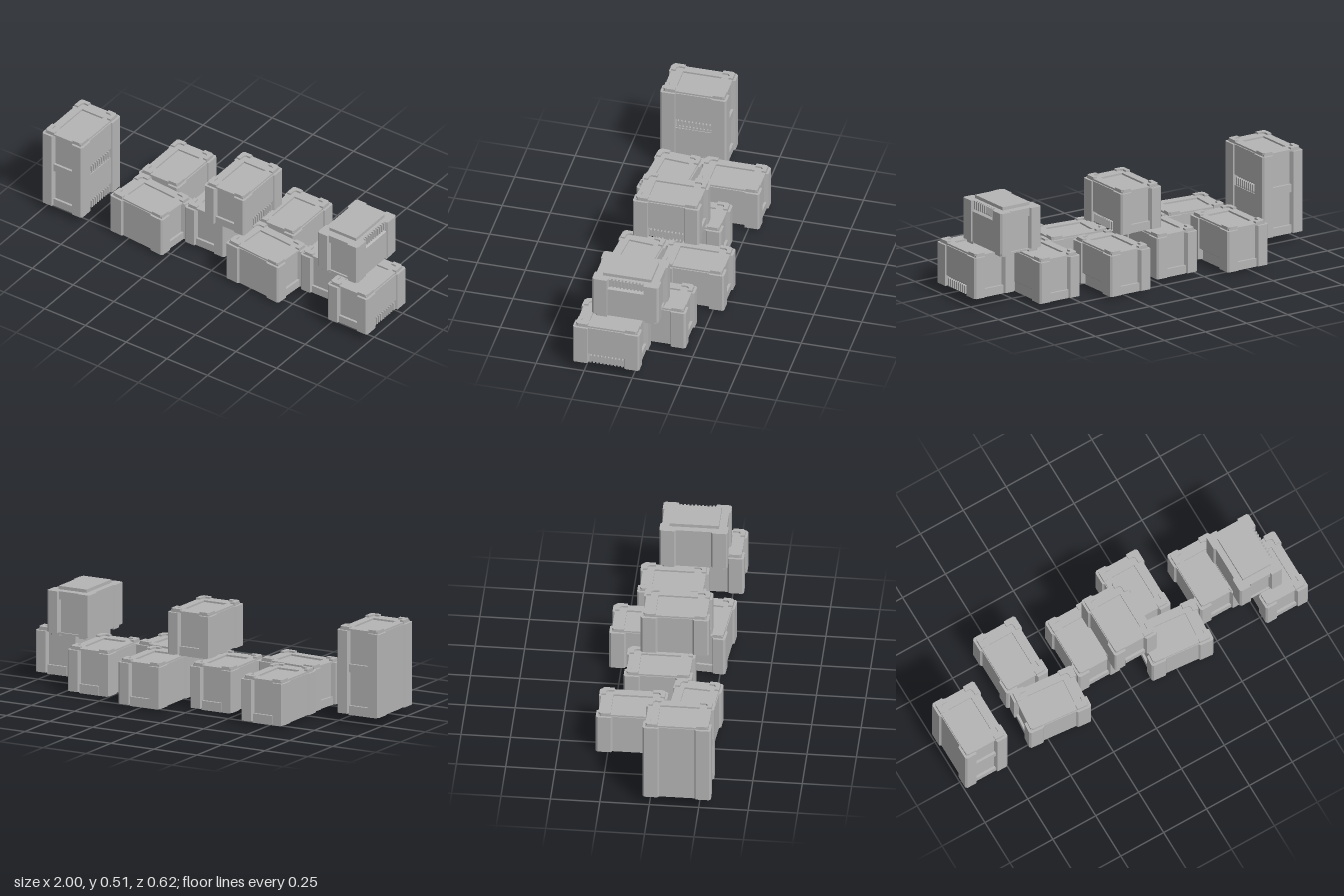
import * as THREE from 'three';

const grey = new THREE.MeshStandardMaterial({ color: 0xb4b4b4 });
grey.name = 'crate grey';

const W = 0.123, L = 0.173;          // half width and half length of a crate
const Y0 = 0.017, Y1 = 0.232;        // bottom and top of the corner posts

function shapeOf(points) {
  return new THREE.Shape(points.map(([x, z]) => new THREE.Vector2(x, -z)));
}

// Upright prism from a plan shape, between two heights
function prism(shape, low, high) {
  const g = new THREE.ExtrudeGeometry(shape, { depth: high - low, bevelEnabled: false });
  g.rotateX(-Math.PI / 2);
  g.translate(0, low, 0);
  return g;
}

function rect(hx, hz) {
  return shapeOf([[-hx, hz], [hx, hz], [hx, -hz], [-hx, -hz]]);
}

// Plan of the body: chamfered corner posts with recessed panels between them
function bodyShape() {
  const c = 0.009, px = 0.062, pz = 0.097, endDepth = 0.022, bevel = 0.008;
  const quarter = (dx) => [
    [W - dx, 0], [W - dx, pz - bevel], [W, pz], [W, L - c], [W - c, L],
    [px, L], [px - bevel, L - endDepth],
  ];
  const right = quarter(0.024), left = quarter(0.01);
  const flip = (pts, sx, sz) => pts.map(([x, z]) => [x * sx, z * sz]);
  return shapeOf([
    ...flip(right, 1, 1), ...flip(left, -1, 1).reverse(),
    ...flip(left, -1, -1).slice(1), ...flip(right, 1, -1).reverse().slice(0, -1),
  ]);
}

// Panel on the ventilated side, its lower edge sloping inwards
function sidePanel() {
  const s = new THREE.Shape([
    [W - 0.03, 0.064], [W - 0.022, 0.064], [W - 0.008, 0.074], [W - 0.008, Y1], [W - 0.03, Y1],
  ].map(([x, y]) => new THREE.Vector2(x, y)));
  const g = new THREE.ExtrudeGeometry(s, { depth: 0.19, bevelEnabled: false });
  g.translate(0, 0, -0.095);
  return g;
}

// Lid with a shallow well in the middle
function lid() {
  const s = rect(0.109, 0.16);
  s.holes.push(new THREE.Path([[-0.065, -0.1], [-0.065, 0.1], [0.065, 0.1], [0.065, -0.1]]
    .map(([x, y]) => new THREE.Vector2(x, y))));
  return prism(s, Y1, 0.241);
}

// L-shaped corner bracket on top
function bracket(sx, sz) {
  const x = W - 0.012, z = L - 0.013, t = 0.022, c = 0.01;
  const pts = [
    [x, z - 0.062], [x, z - c], [x - c, z], [x - 0.055, z],
    [x - 0.055, z - t], [x - t - c, z - t], [x - t, z - t - c], [x - t, z - 0.062],
  ].map(([a, b]) => [a * sx, b * sz]);
  return prism(shapeOf(pts), Y1, 0.25);
}

// Upright vent rib with a rounded top
function ventRib() {
  const r = 0.0045, h = 0.044, s = new THREE.Shape();
  s.moveTo(-r, 0);
  s.lineTo(r, 0);
  s.lineTo(r, h - r);
  s.absarc(0, h - r, r, 0, Math.PI, false);
  s.lineTo(-r, 0);
  const g = new THREE.ExtrudeGeometry(s, { depth: 0.014, bevelEnabled: false, curveSegments: 4 });
  g.rotateY(Math.PI / 2);
  return g;
}

const parts = {
  body: prism(bodyShape(), Y0, Y1),
  basePlate: prism(rect(0.081, 0.125), 0, Y0 + 0.002),
  sidePanel: sidePanel(),
  lid: lid(),
  endSill: new THREE.BoxGeometry(0.112, 0.042, 0.014),
  ventRib: ventRib(),
};
const corners = [[1, 1], [1, -1], [-1, 1], [-1, -1]];
const brackets = corners.map(([sx, sz]) => bracket(sx, sz));

function crate(vented) {
  const g = new THREE.Group();
  const add = (name, geometry, x = 0, y = 0, z = 0) => {
    const m = new THREE.Mesh(geometry, grey);
    m.name = name;
    m.position.set(x, y, z);
    g.add(m);
  };
  for (const name of ['body', 'basePlate', 'sidePanel', 'lid']) add(name, parts[name]);
  brackets.forEach((b) => add('cornerBracket', b));
  for (const s of [1, -1]) add('endSill', parts.endSill, 0, Y0 + 0.021, s * (L - 0.016));
  if (vented) {
    for (let i = 0; i < 10; i++) add('ventRib', parts.ventRib, W - 0.025, Y0, (i - 4.5) * 0.0183);
  }
  return g;
}

export function createModel() {
  const model = new THREE.Group();
  model.name = 'crateStacks';
  const turn = THREE.MathUtils.degToRad(85);
  // name, x, y, z, turn about y, upside down, vent ribs
  const layout = [
    ['tallStackLowerCrate', -0.877, 0.031, 0.138, 0, false, true],
    ['tallStackUpperCrate', -0.877, 0.246, 0.138, 0, false, true],
    ['backLeftCrate', -0.478, 0, -0.137, 0, false, false],
    ['frontLeftCrate', -0.425, 0, 0.17, turn, false, false],
    ['middleLeftCrate', -0.12, 0, -0.03, 0, false, false],
    ['bridgingCrate', 0.05, 0.246, 0.04, 0, false, true],
    ['backRightCrate', 0.235, 0, -0.137, 0, false, false],
    ['frontRightCrate', 0.288, 0, 0.17, turn, false, false],
    ['middleRightCrate', 0.592, 0, -0.03, 0, false, false],
    ['endCrate', 0.875, 0.031, 0.138, 0, false, true],
    ['upturnedCrate', 0.765, 0.515, 0.066, 0, true, true],
  ];
  for (const [name, x, y, z, ry, upside, vented] of layout) {
    const c = crate(vented);
    c.name = name;
    c.position.set(x, y, z);
    c.rotation.set(upside ? Math.PI : 0, ry, 0);
    model.add(c);
  }
  return model;
}
